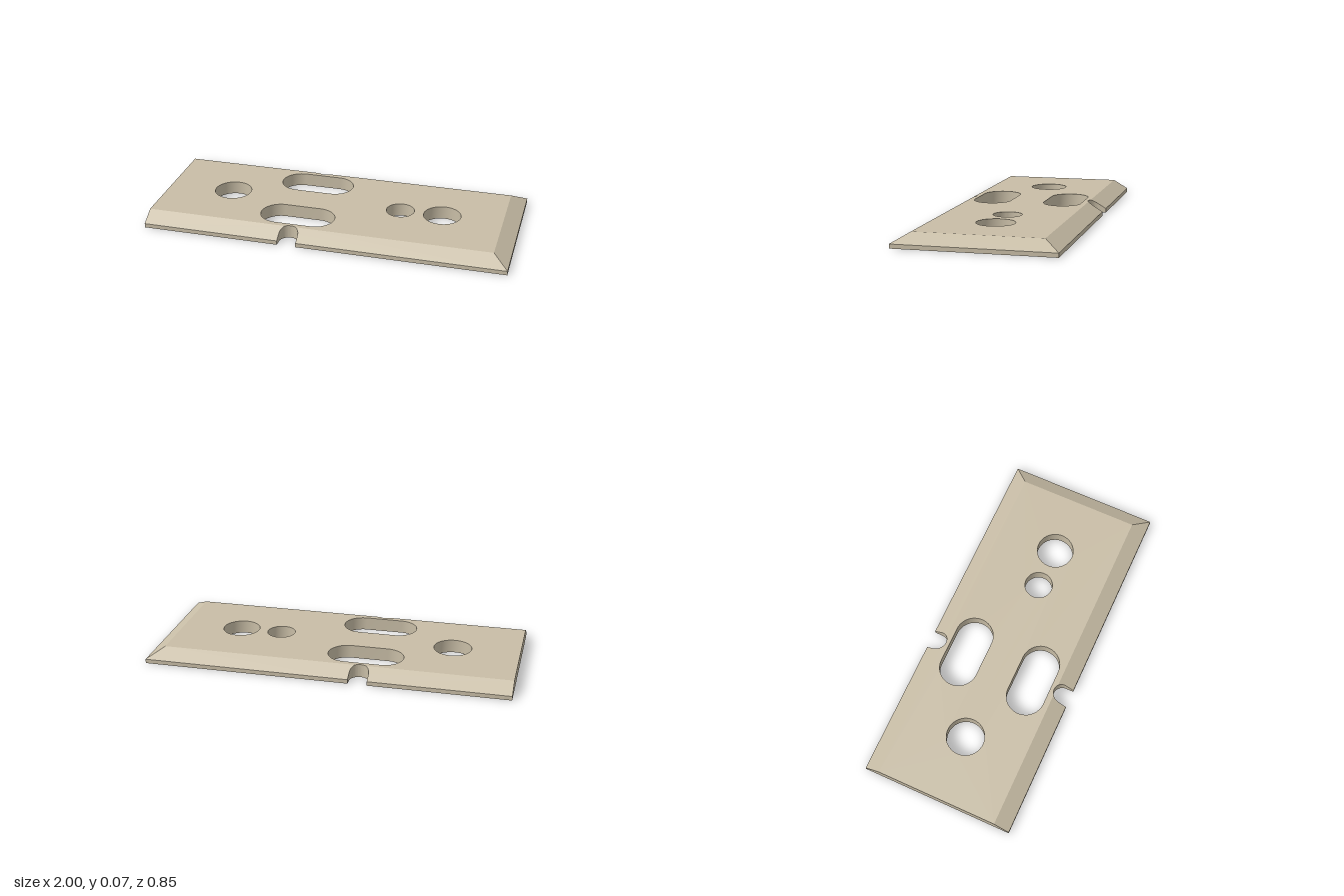
import * as THREE from 'three';
import { mergeGeometries, toCreasedNormals } from 'three/addons/utils/BufferGeometryUtils.js';

const HALF = 0.425;      // half width of the plate
const THICK = 0.073;     // full thickness
const EDGE = 0.023;      // thickness left at the bevelled edges
const BEVEL = 0.085;     // bevel width
const FLAT = HALF - BEVEL;
const NOTCH = { x: -0.186, s: 0.382, r: 0.052 };

// Plan points are (x, s) with s = -z. Top surface height at a plan point:
const height = (p) =>
  Math.min(THICK, EDGE + (THICK - EDGE) * Math.min(HALF - Math.abs(p.y), 1 - p.x) / BEVEL);

const pt = (x, s) => new THREE.Vector2(x, s);
const flip = (pts) => pts.map((p) => pt(p.x, -p.y)).reverse();

function arc(cx, cs, r, t0, t1, n) {
  return Array.from({ length: n + 1 }, (_, i) => {
    const t = t0 + (t1 - t0) * i / n;
    return pt(cx + r * Math.cos(t), cs + r * Math.sin(t));
  });
}

// Round hole, or a slot when halfRun > 0 (counter-clockwise)
function holeLoop(x, s, r, halfRun = 0) {
  const loop = [
    ...arc(x + halfRun, s, r, -Math.PI / 2, Math.PI / 2, 24),
    ...arc(x - halfRun, s, r, Math.PI / 2, Math.PI * 1.5, 24),
  ];
  return halfRun ? loop : loop.filter((_, i) => i !== 24 && i !== 49);
}

// Filled plan region, lifted onto the top surface or laid face-down at y = 0
function panel(pts, holes = [], bottom = false) {
  const shape = new THREE.Shape(pts);
  shape.holes = holes.map((h) => new THREE.Path(h));
  const geo = new THREE.ShapeGeometry(shape);
  const pos = geo.attributes.position;
  if (!bottom) {
    for (let i = 0; i < pos.count; i++) pos.setZ(i, height(pt(pos.getX(i), pos.getY(i))));
  }
  geo.rotateX(bottom ? Math.PI / 2 : -Math.PI / 2);
  return bare(geo);
}

// Upright wall along a closed loop, facing to the right of travel
function wall(loop) {
  const v = [];
  loop.forEach((p, i) => {
    const q = loop[(i + 1) % loop.length];
    const hp = height(p), hq = height(q);
    v.push(p.x, 0, -p.y, q.x, 0, -q.y, q.x, hq, -q.y);
    v.push(p.x, 0, -p.y, q.x, hq, -q.y, p.x, hp, -p.y);
  });
  const geo = new THREE.BufferGeometry();
  geo.setAttribute('position', new THREE.Float32BufferAttribute(v, 3));
  return geo;
}

function bare(geo) {
  const g = geo.index ? geo.toNonIndexed() : geo;
  g.deleteAttribute('uv');
  g.deleteAttribute('normal');
  return g;
}

export function createModel() {
  const group = new THREE.Group();
  group.name = 'slottedPlate';
  const material = new THREE.MeshStandardMaterial({ color: 0xc8bda6 });
  const add = (name, geos) => {
    const mesh = new THREE.Mesh(toCreasedNormals(mergeGeometries(geos), 0.45), material);
    mesh.name = name;
    group.add(mesh);
  };

  // Notch curve, split where it crosses the bevel crease
  const { x, s, r } = NOTCH;
  const a = Math.asin((s - FLAT) / r);
  const left = arc(x, s, r, Math.PI, Math.PI + a, 8);
  const tip = arc(x, s, r, Math.PI + a, 2 * Math.PI - a, 10);
  const right = arc(x, s, r, 2 * Math.PI - a, 2 * Math.PI, 8);

  const holes = [
    holeLoop(-0.631, 0, 0.104),
    holeLoop(0.581, 0, 0.103),
    holeLoop(0.346, 0, 0.078),
    holeLoop(-0.186, 0.203, 0.106, 0.102),
    holeLoop(-0.186, -0.203, 0.106, 0.102),
  ];

  // Flat top face
  const topHalf = [pt(1 - BEVEL, FLAT), ...[...tip].reverse(), pt(-1, FLAT)];
  add('topFace', [panel([...topHalf, ...flip(topHalf)], holes)]);

  // Bevels: both long sides (each cut by a notch) and the +x end
  const bevelParts = [
    [pt(-1, FLAT), ...[...left].reverse(), pt(x - r, HALF), pt(-1, HALF)],
    [pt(x + r, HALF), ...[...right].reverse(), pt(1 - BEVEL, FLAT), pt(1, HALF)],
  ];
  add('sideBevels', bevelParts.flatMap((b) => [panel(b), panel(flip(b))]));
  add('endBevel', [panel([
    pt(1 - BEVEL, -FLAT), pt(1, -HALF), pt(1, HALF), pt(1 - BEVEL, FLAT),
  ])]);

  // Outer rim, including the notch walls
  const notch = [...left, ...tip.slice(1), ...right.slice(1)];
  const rimHalf = [
    pt(1, HALF), pt(x + r, HALF), ...notch.reverse(), pt(x - r, HALF),
    pt(-1, HALF), pt(-1, FLAT),
  ];
  const rim = [...rimHalf, ...flip(rimHalf)];
  add('outerRim', [wall(rim)]);

  // Hole and slot walls
  add('holeWalls', holes.map((h) => wall([...h].reverse())));

  // Underside
  add('underside', [panel(rim, holes, true)]);

  return group;
}
